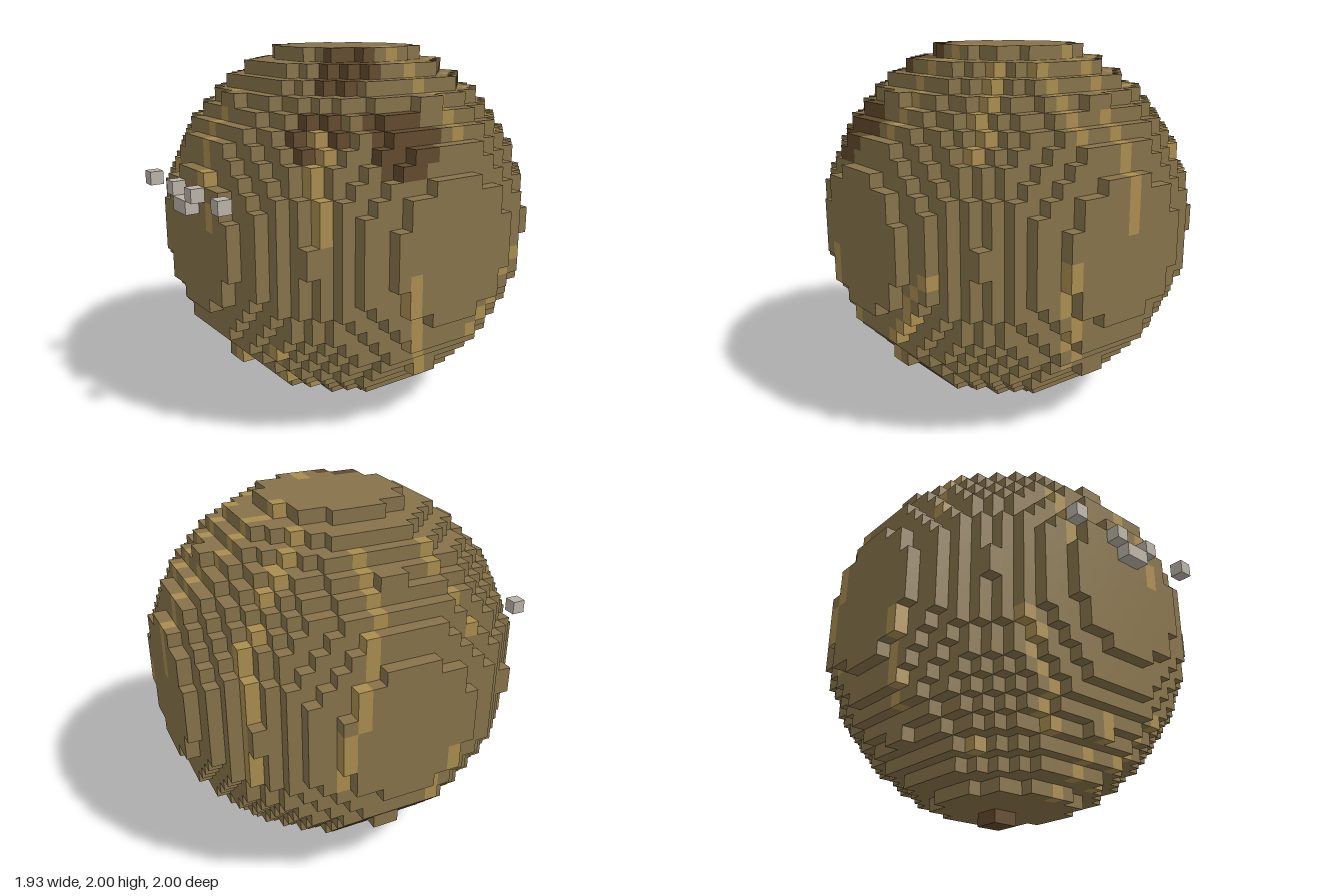
import * as THREE from 'three';

const N = 26;            // voxels across the ball
const V = 2 / 27;        // voxel size
const OY = V, OZ = -1;   // the ball rests on a one-voxel nub, face bumps reach z = 1

const mat = (name, color) => {
  const m = new THREE.MeshStandardMaterial({ color });
  m.name = name;
  return m;
};

// Voxel ball; i, j, k run 0..25 along x, y, z
const sq = (n) => (n - 12.5) ** 2;
const solid = (i, j, k) => sq(i) + sq(j) + sq(k) < 182;
const key = (i, j, k) => (i * N + j) * N + k;

// Each side maps (u, v, depth) to a voxel; x is counted from the middle
const sides = {
  front: (u, v, d) => [u + 13, v, 25 - d],
  back: (u, v, d) => [u + 13, v, d],
  top: (u, v, d) => [u + 13, 25 - d, v],
  right: (u, v, d) => [25 - d, v, u],
  left: (u, v, d) => [d, v, u],
};

// Strokes: u from, u to, v from, v to
const veins = {
  front: [
    [-5, -5, 15, 21], [-2, -2, 22, 22], [-1, -1, 20, 21], [0, 0, 18, 19],
    [1, 1, 16, 17], [2, 2, 14, 15], [8, 8, 17, 19], [9, 9, 14, 16],
    [-8, -8, 9, 9], [-7, -7, 7, 8], [-6, -6, 6, 6], [-5, -5, 4, 5], [-4, -4, 3, 3],
    [0, 0, 0, 4], [5, 5, 5, 5], [4, 4, 3, 4], [3, 3, 1, 2], [-7, -7, 2, 2], [-11, -11, 18, 18],
  ],
  top: [
    [-2, -2, 4, 8], [2, 2, 2, 6], [-7, -7, 5, 6], [-6, -6, 6, 7], [-5, -5, 8, 8],
    [4, 4, 8, 8], [5, 5, 7, 7], [6, 7, 6, 6], [7, 8, 5, 5],
    [-13, -13, 9, 9], [-12, -12, 10, 10], [-11, -8, 11, 11], [3, 7, 12, 12], [8, 10, 11, 11],
    [-9, -8, 16, 16], [-10, -10, 17, 17], [-11, -11, 18, 18],
    [-5, -5, 21, 24], [7, 8, 20, 20], [8, 8, 21, 21],
  ],
  right: [
    [12, 12, 23, 25], [11, 11, 20, 22], [21, 21, 14, 18],
    [16, 16, 9, 11], [15, 15, 6, 8], [14, 14, 5, 5], [13, 13, 3, 4],
    [6, 6, 11, 11], [7, 7, 10, 10], [8, 8, 8, 9], [9, 9, 7, 7], [10, 10, 6, 6],
  ],
  left: [
    [10, 10, 17, 19], [9, 9, 14, 16], [8, 8, 9, 13],
    [16, 16, 9, 10], [15, 15, 6, 8], [14, 14, 5, 5],
  ],
  back: [
    [-1, -1, 14, 21], [-8, -8, 17, 19], [-9, -9, 9, 16],
    [4, 4, 9, 12], [3, 3, 6, 8], [2, 2, 4, 5],
  ],
};
const spots = {
  top: [
    [4, 5, 14, 14], [3, 6, 15, 17], [4, 5, 18, 18],
    [7, 8, 19, 19], [6, 6, 20, 21], [7, 7, 21, 21],
  ],
  right: [[14, 17, 21, 21], [13, 17, 20, 20], [14, 17, 19, 19], [15, 17, 18, 18]],
};

// Mark the outermost voxel under every cell of every stroke
function paint(map, strokes, value) {
  for (const side in strokes) {
    for (const [u0, u1, v0, v1] of strokes[side]) {
      for (let u = u0; u <= u1; u++) for (let v = v0; v <= v1; v++) {
        for (let d = 0; d < 13; d++) {
          const c = sides[side](u, v, d);
          if (solid(...c)) { map.set(key(...c), value); break; }
        }
      }
    }
  }
}

// Add the two triangles of one voxel face
function addFace(out, cell, axis, dir) {
  const b = (axis + 1) % 3, c = (axis + 2) % 3;
  const corners = [[0, 0], [1, 0], [1, 1], [0, 1]].map(([s, t]) => {
    const p = [...cell];
    p[axis] += dir > 0 ? 1 : 0;
    p[b] += s;
    p[c] += t;
    return [(p[0] - 13) * V, OY + p[1] * V, OZ + p[2] * V];
  });
  const normal = [0, 0, 0];
  normal[axis] = dir;
  for (const n of dir > 0 ? [0, 1, 2, 0, 2, 3] : [0, 2, 1, 0, 3, 2]) {
    out.pos.push(...corners[n]);
    out.nor.push(...normal);
  }
}

export function createModel() {
  const group = new THREE.Group();
  const skin = mat('olive brown skin', 0x87734a);
  const tan = mat('light tan', 0xaa8d50);
  const brown = mat('dark brown', 0x624a2d);
  const grey = mat('pale grey', 0xbab3a8);

  const colours = new Map();
  paint(colours, veins, 1);
  paint(colours, spots, 2);

  // Ball surface, sorted into skin, veins and spots
  const parts = [['ballSkin', skin], ['veins', tan], ['spots', brown]]
    .map(([name, material]) => ({ name, material, pos: [], nor: [] }));
  for (let i = 0; i < N; i++) for (let j = 0; j < N; j++) for (let k = 0; k < N; k++) {
    if (!solid(i, j, k)) continue;
    const part = parts[colours.get(key(i, j, k)) ?? 0];
    for (let axis = 0; axis < 3; axis++) for (const dir of [-1, 1]) {
      const next = [i, j, k];
      next[axis] += dir;
      if (!solid(...next)) addFace(part, [i, j, k], axis, dir);
    }
  }
  for (const { name, material, pos, nor } of parts) {
    const geo = new THREE.BufferGeometry();
    geo.setAttribute('position', new THREE.Float32BufferAttribute(pos, 3));
    geo.setAttribute('normal', new THREE.Float32BufferAttribute(nor, 3));
    const mesh = new THREE.Mesh(geo, material);
    mesh.name = name;
    group.add(mesh);
  }

  // Boxes on the same grid: corner cell and size in voxels
  const box = (name, material, a, j, k, w, h, d) => {
    const mesh = new THREE.Mesh(new THREE.BoxGeometry(w * V, h * V, d * V), material);
    mesh.position.set((a + w / 2) * V, OY + (j + h / 2) * V, OZ + (k + d / 2) * V);
    mesh.name = name;
    group.add(mesh);
  };

  // Face: two eyes, two mouth corners and the mouth
  box('rightEye', grey, -6, 16, 26, 1, 1, 1);
  box('leftEye', grey, 5, 16, 26, 1, 1, 1);
  box('rightMouthCorner', grey, -2, 16, 26, 1, 1, 1);
  box('leftMouthCorner', grey, 1, 16, 26, 1, 1, 1);
  box('mouth', grey, -1, 15, 26, 2, 1, 1);

  // Nub underneath
  box('bottomNub', brown, -1, -1, 11, 2, 1, 2);
  return group;
}
